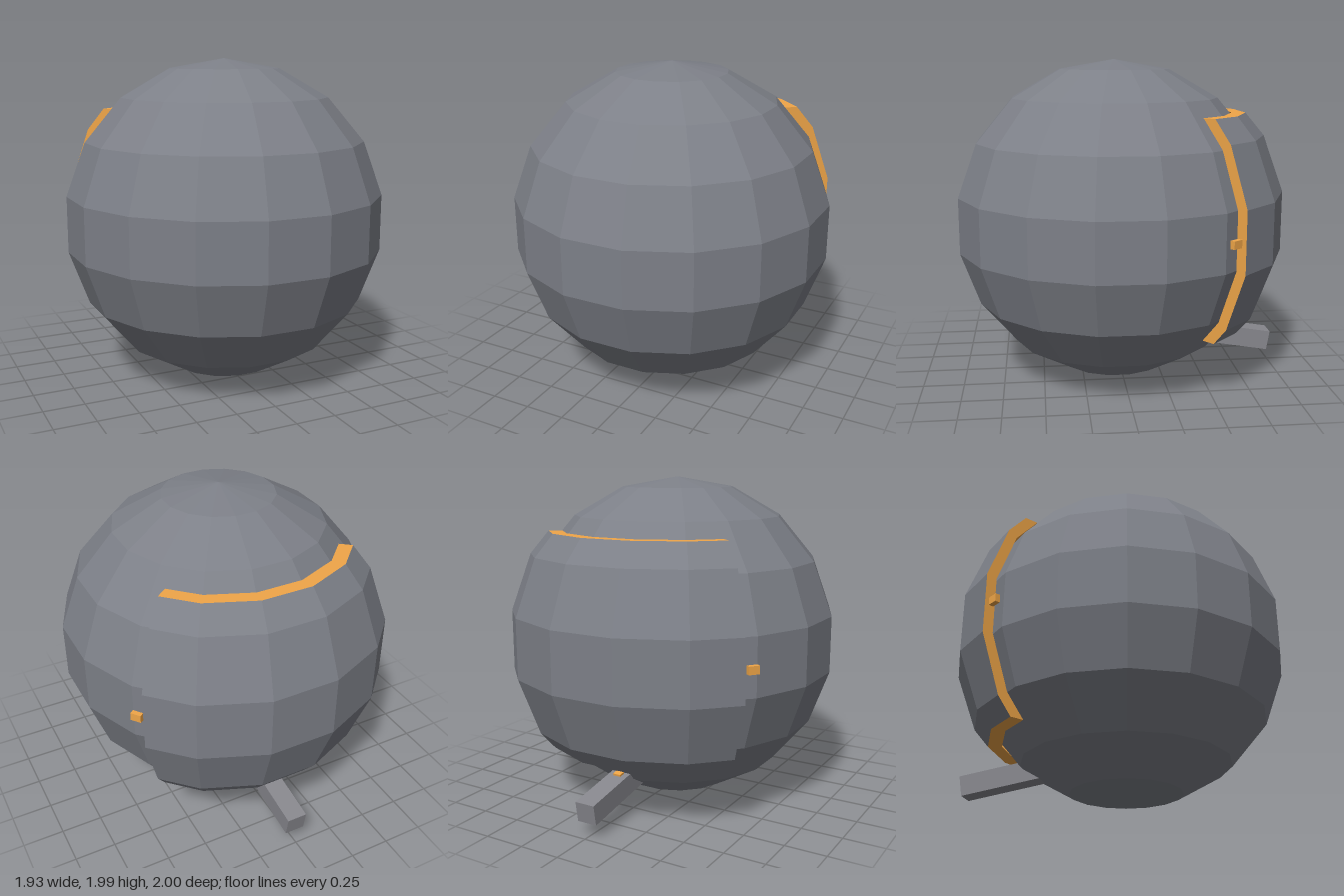
import * as THREE from 'three';

const R = 0.997, CENTRE = [0, 0.997, 0.037];
const SEG = 16, ROWS = 9;
const STEP = (2 * Math.PI) / SEG;

const mat = (color) => new THREE.MeshStandardMaterial({ color, flatShading: true });

function addMesh(parent, name, geometry, material) {
  const mesh = new THREE.Mesh(geometry, material);
  mesh.name = name;
  parent.add(mesh);
  return mesh;
}

// Point on a faceted ball of radius r; angle 0 is the back, +angle runs to +x
function facetPoint(r, angle, y) {
  const polar = (k) => [r * Math.sin((k * Math.PI) / ROWS), r * Math.cos((k * Math.PI) / ROWS)];
  let k = 0;
  while (polar(k + 1)[1] > y + 1e-6) k++;
  const [r0, y0] = polar(k), [r1, y1] = polar(k + 1);
  const ring = r0 + ((r1 - r0) * (y - y0)) / (y1 - y0);
  const offset = angle - Math.round(angle / STEP) * STEP;
  const d = (ring * Math.cos(STEP / 2)) / Math.cos(offset);
  return [d * Math.sin(angle), y, -d * Math.cos(angle)];
}

function quadGeometry(quads) {
  const pos = [];
  for (const [a, b, c, d] of quads) pos.push(...a, ...b, ...c, ...a, ...c, ...d);
  const g = new THREE.BufferGeometry();
  g.setAttribute('position', new THREE.Float32BufferAttribute(pos, 3));
  g.computeVertexNormals();
  return g;
}

// Raised hatch: a thick patch of a larger concentric ball
function buildHatch(grey, orange) {
  const end = THREE.MathUtils.degToRad(50.6);
  const angles = [-end, -1.5 * STEP, -0.5 * STEP, 0.5 * STEP, 1.5 * STEP, end];
  const grid = (r) => {
    const rings = [3, 4, 5, 6].map((k) => r * Math.cos((k * Math.PI) / ROWS));
    return [0.673, ...rings, -0.642].map((y) => angles.map((a) => facetPoint(r, a, y)));
  };
  const O = grid(1.073), I = grid(1.007);
  const n = angles.length - 1, m = O.length - 1;
  const shell = [], rim = [];
  for (let j = 0; j < m; j++) {
    for (let i = 0; i < n; i++) {
      shell.push([O[j + 1][i + 1], O[j + 1][i], O[j][i], O[j][i + 1]]);
      rim.push([I[j][i + 1], I[j][i], I[j + 1][i], I[j + 1][i + 1]]);
    }
    rim.push([I[j + 1][n], O[j + 1][n], O[j][n], I[j][n]]);
    rim.push([I[j][0], O[j][0], O[j + 1][0], I[j + 1][0]]);
  }
  for (let i = 0; i < n; i++) {
    rim.push([I[0][i], I[0][i + 1], O[0][i + 1], O[0][i]]);
    rim.push([O[m][i], O[m][i + 1], I[m][i + 1], I[m][i]]);
  }
  const hatch = new THREE.Group();
  hatch.name = 'hatch';
  hatch.position.set(...CENTRE);
  addMesh(hatch, 'hatchShell', quadGeometry(shell), grey);
  addMesh(hatch, 'hatchRim', quadGeometry(rim), orange);
  return hatch;
}

export function createModel() {
  const model = new THREE.Group();
  const grey = mat(0x7d8088), armGrey = mat(0x88888e), orange = mat(0xf0a648);

  // Ball body, with a flat facet facing front and back
  const body = addMesh(model, 'body', new THREE.SphereGeometry(R, SEG, ROWS).rotateY(STEP / 2), grey);
  body.position.set(...CENTRE);

  model.add(buildHatch(grey, orange));

  // Small latches beside the hatch
  for (const side of [-1, 1]) {
    const latch = addMesh(model, side > 0 ? 'leftLatch' : 'rightLatch',
      new THREE.BoxGeometry(0.03, 0.048, 0.065), orange);
    latch.position.set(side * 0.818, 0.997, -0.563);
    latch.rotation.y = side * 0.64;
  }

  // Lower latch, above the arm
  const lower = addMesh(model, 'lowerLatch', new THREE.BoxGeometry(0.05, 0.03, 0.04), orange);
  lower.position.set(0, 0.267, -0.655);
  lower.rotation.x = -0.17;

  // Arm sloping down and out from the underside
  const arm = addMesh(model, 'arm', new THREE.BoxGeometry(0.125, 0.125, 0.6), armGrey);
  arm.position.set(0, 0.2, -0.691);
  arm.rotation.x = -0.17;

  return model;
}
